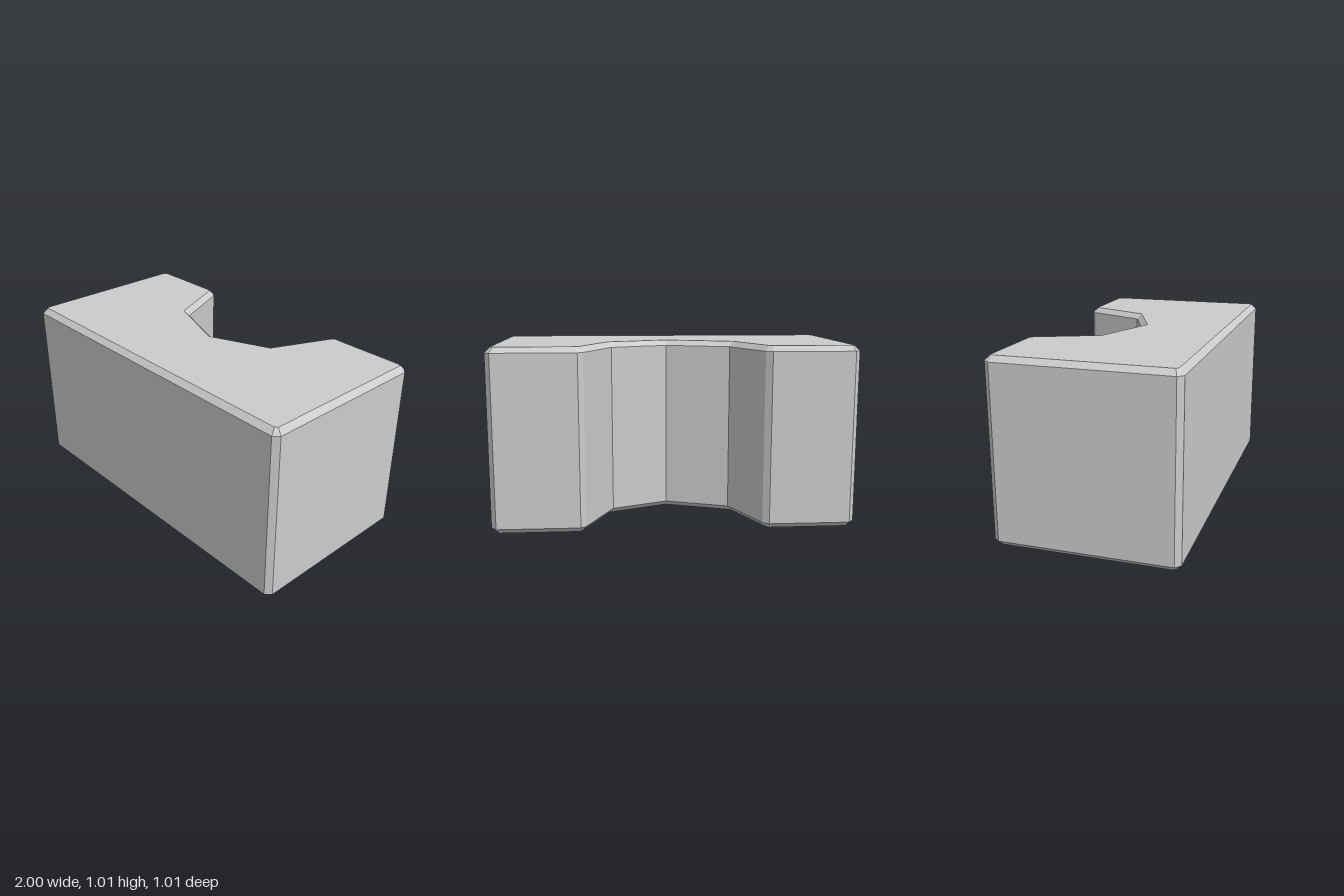
import * as THREE from 'three';

const HEIGHT = 1.01;
const BEVEL = 0.03;

export function createModel() {
  const group = new THREE.Group();
  group.name = 'notchedBlock';

  // Plan outline (x, z): chamfered corners and an angular notch in the back
  const outline = [
    [-0.97, -0.51], [-0.52, -0.51], [-0.485, -0.485], [-0.34, -0.15],
    [0.02, -0.015],
    [0.34, -0.15], [0.485, -0.485], [0.515, -0.51], [0.97, -0.51],
    [1, -0.475], [1, 0.47], [0.97, 0.5], [-0.97, 0.495], [-1, 0.465], [-1, -0.475],
  ].map(([x, z]) => new THREE.Vector2(x, z));

  // Upright block with chamfered top and bottom rims
  const geometry = new THREE.ExtrudeGeometry(new THREE.Shape(outline), {
    depth: HEIGHT - 2 * BEVEL,
    bevelEnabled: true,
    bevelThickness: BEVEL,
    bevelSize: BEVEL,
    bevelOffset: -BEVEL,
    bevelSegments: 1,
  });
  geometry.rotateX(Math.PI / 2);
  geometry.translate(0, HEIGHT - BEVEL, 0);

  const block = new THREE.Mesh(
    geometry,
    new THREE.MeshStandardMaterial({ color: 0xcccccc, flatShading: true }),
  );
  block.name = 'block';
  group.add(block);
  return group;
}
